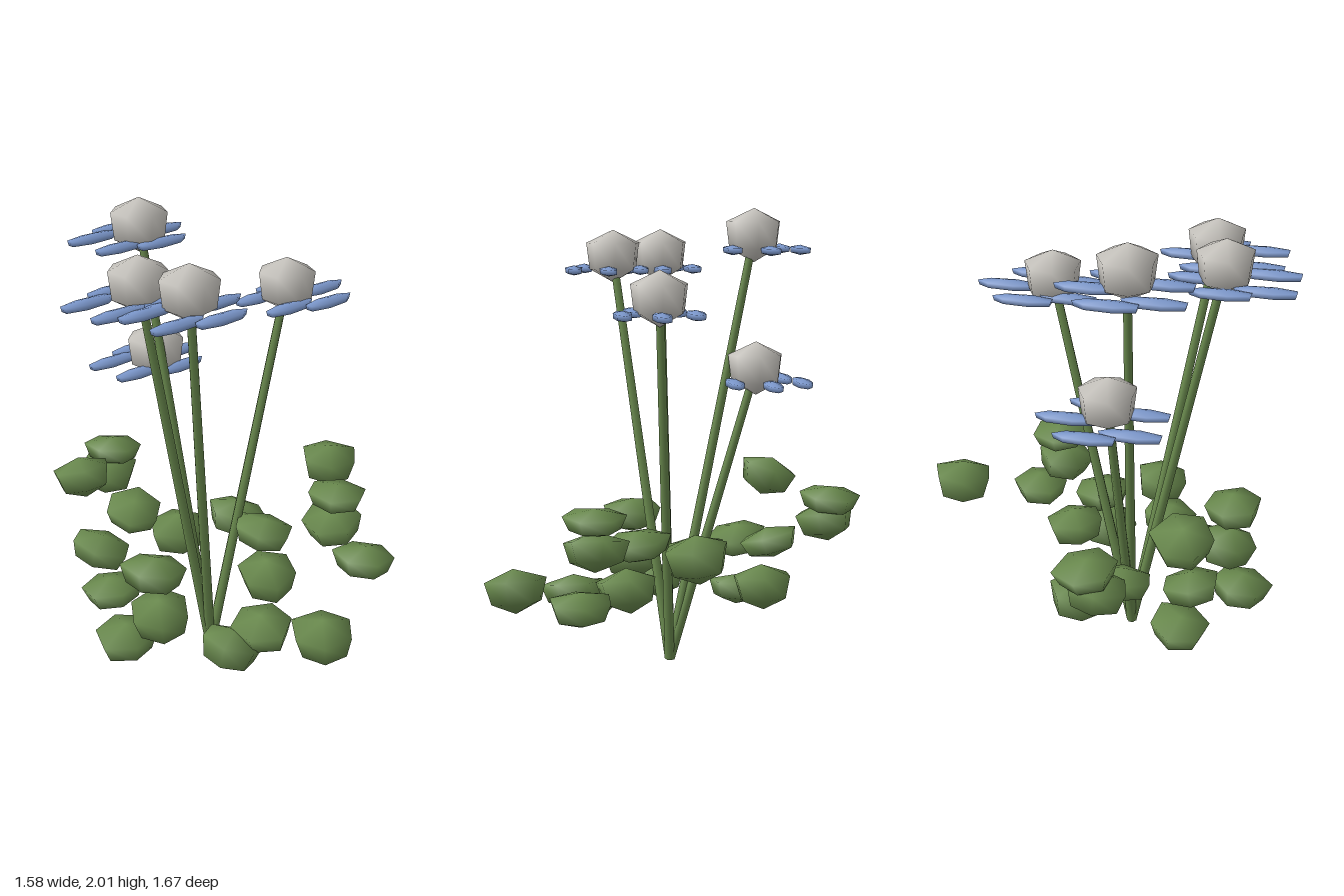
import * as THREE from 'three';
import { mergeVertices } from 'three/addons/utils/BufferGeometryUtils.js';

const green = new THREE.MeshStandardMaterial({ color: 0x6a8a4e });
green.name = 'leaf green';
const blue = new THREE.MeshStandardMaterial({ color: 0x7b97cb });
blue.name = 'petal blue';
const white = new THREE.MeshStandardMaterial({ color: 0xcac7c1 });
white.name = 'flower head grey';

// Low-poly blob with poles at y = +-1, an upper ring of unit radius and a narrower lower ring
function blob(sides, lower, tip = 1) {
  const g = new THREE.SphereGeometry(1, sides, 3);
  g.rotateY(Math.PI);
  g.scale(1 / 0.866, 1, 1 / 0.866);
  const p = g.attributes.position;
  for (let i = 0; i < p.count; i++) {
    const k = p.getY(i) < 0 ? lower : 1;
    p.setX(i, p.getX(i) * k * (p.getX(i) > 0.9 ? tip : 1));
    p.setZ(i, p.getZ(i) * k);
  }
  g.deleteAttribute('uv');
  g.deleteAttribute('normal');
  const m = mergeVertices(g, 1e-4);
  m.computeVertexNormals();
  return m;
}

const headGeo = blob(7, 0.88).scale(0.122, 0.117, 0.122);
const petalGeo = blob(7, 0.95).scale(0.134, 0.022, 0.039);
const leafGeo = blob(6, 0.8, 1.12);

const base = new THREE.Vector3(-0.12, 0, 0);

// Flower head centres
const flowers = [
  [-0.165, 1.883, -0.375],
  [-0.49, 1.785, 0],
  [-0.42, 1.785, 0.22],
  [0.25, 1.64, 0.083],
  [-0.088, 1.31, -0.375],
];

// Leaves: centre x y z, thickness, sideways tilt, fore-and-aft tilt
const leaves = [
  [-0.43, 0.765, -0.49, 0.18, 0, -0.3],
  [-0.55, 0.57, 0.13, 0.16, -0.1, 0],
  [-0.45, 0.46, -0.36, 0.15, -0.2, 0.15],
  [-0.53, 0.36, 0.14, 0.2, 0.2, 0.1],
  [-0.61, 0.235, 0.01, 0.16, 0.12, 0.05],
  [-0.33, 0.22, 0.35, 0.19, -0.25, 0.1],
  [-0.12, 0.33, 0.69, 0.2, 0.15, 0.05],
  [0.04, 0.36, 0.2, 0.2, 0.2, 0.1],
  [-0.08, 0.715, -0.71, 0.13, -0.1, -0.05],
  [-0.11, 0.615, -0.7, 0.18, 0.1, 0.15],
  [0.12, 0.525, -0.09, 0.17, -0.15, 0.1],
  [0.28, 0.595, 0.36, 0.17, 0.25, 0],
  [0.3, 0.725, 0.36, 0.12, -0.05, 0],
  [0.655, 0.645, -0.02, 0.2, 0.05, 0.1],
  [0.42, 0.39, 0.43, 0.15, -0.05, 0],
  [-0.21, 0.295, 0.42, 0.16, 0.2, 0.05],
  [-0.17, 0.51, -0.46, 0.14, 0.1, 0.25],
  [0.04, 0.36, -0.39, 0.2, 0.1, 0.05],
  [-0.4, 0.235, -0.35, 0.14, 0.1, -0.1],
  [0.05, 0.56, 0.16, 0.14, -0.1, 0.1],
];

function add(parent, name, geo, mat) {
  const m = new THREE.Mesh(geo, mat);
  m.name = name;
  parent.add(m);
  return m;
}

// Straight tapered stem between two points
function addStem(parent, a, b) {
  const dir = b.clone().sub(a);
  const stem = add(parent, 'stem', new THREE.CylinderGeometry(0.018, 0.023, dir.length(), 7), green);
  stem.position.copy(a).addScaledVector(dir, 0.5);
  stem.quaternion.setFromUnitVectors(new THREE.Vector3(0, 1, 0), dir.normalize());
}

export function createModel() {
  const model = new THREE.Group();
  model.name = 'floweringPlant';

  for (const c of flowers) {
    const flower = new THREE.Group();
    flower.name = 'flower';
    model.add(flower);
    const top = new THREE.Vector3(...c);
    addStem(flower, base, top);
    add(flower, 'flowerHead', headGeo, white).position.copy(top);

    // Five parallel petals in a ring, shifted outward along the lean of the stem
    const lean = top.clone().sub(base);
    for (let i = 0; i < 5; i++) {
      const a = (i / 5) * Math.PI * 2;
      add(flower, 'petal', petalGeo, blue).position.set(
        top.x + lean.x * 0.13 - 0.005 + 0.156 * Math.cos(a),
        top.y - 0.063,
        top.z + lean.z * 0.13 + 0.156 * Math.sin(a));
    }
  }

  // Thick loose leaves around the stems, each turned a little differently
  const foliage = new THREE.Group();
  foliage.name = 'foliage';
  model.add(foliage);
  leaves.forEach(([x, y, z, thickness, tiltZ, tiltX], i) => {
    const g = leafGeo.clone().rotateY(i * 2.4).scale(0.128, thickness / 2, 0.135);
    const leaf = add(foliage, 'leaf', g, green);
    leaf.position.set(x, y, z);
    leaf.rotation.set(tiltX, 0, tiltZ);
  });
  return model;
}
